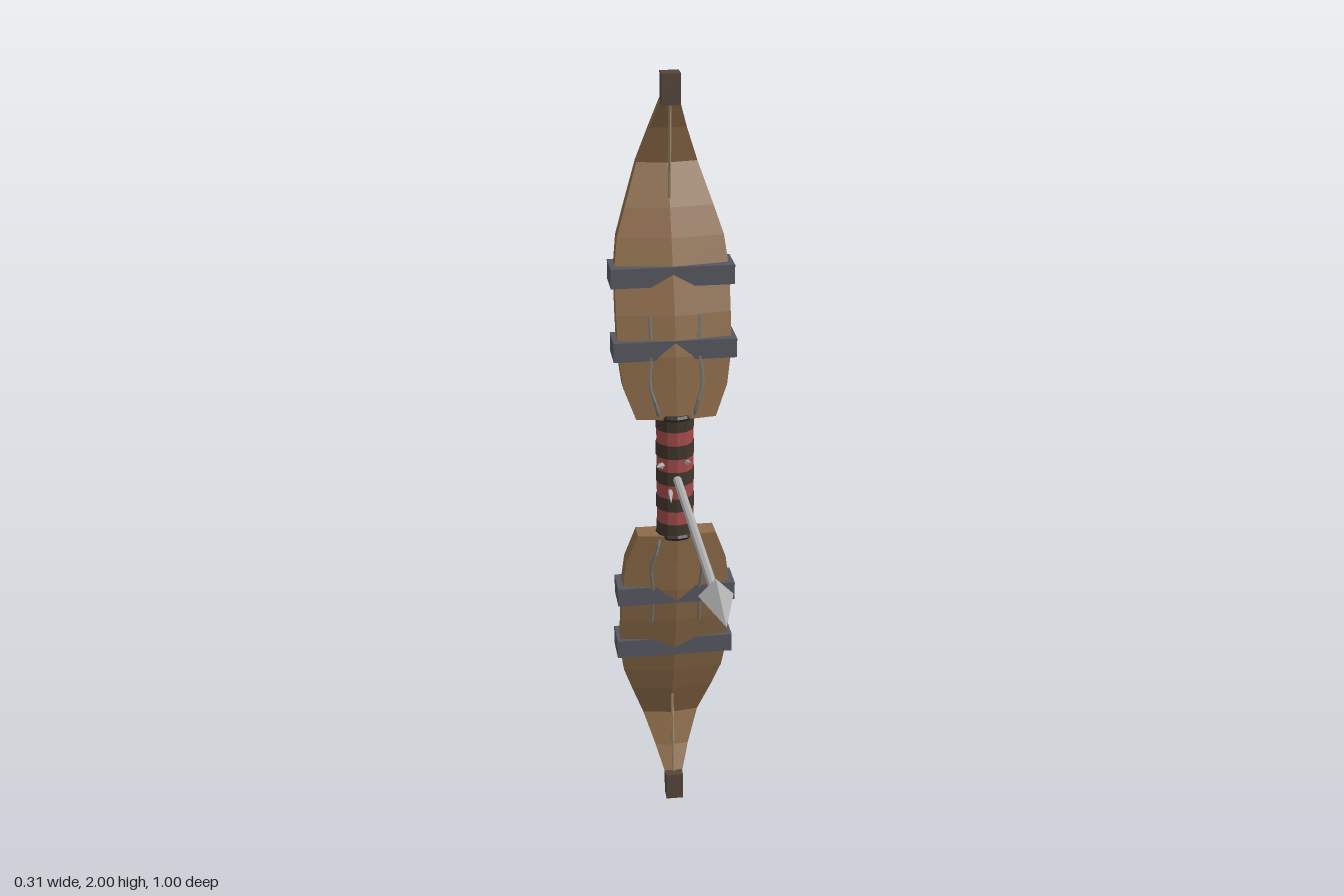
import * as THREE from 'three';

const mat = (name, color) => {
  const m = new THREE.MeshStandardMaterial({ color, flatShading: true });
  m.name = name;
  return m;
};

export function createModel() {
  const wood = mat('wood', 0x8b6a48), iron = mat('iron', 0x565660), tipWood = mat('darkWood', 0x54453a);
  const red = mat('redWrap', 0xa34a4a), dark = mat('darkWrap', 0x40362c), ring = mat('ringBrown', 0x2e2a28);
  const steel = mat('steel', 0xb0b0b0), cord = mat('cord', 0x9a8468), wire = mat('wire', 0x77746f);
  const bow = new THREE.Group();
  bow.name = 'bowAndArrow';

  const add = (parent, name, geo, m, x = 0, y = 0, z = 0) => {
    const mesh = new THREE.Mesh(geo, m);
    mesh.name = name;
    mesh.position.set(x, y, z);
    parent.add(mesh);
    return mesh;
  };
  // tapered rod from a to b
  const rod = (parent, name, a, b, r0, r1, m, sides = 6) => {
    const p = new THREE.Vector3(...a), q = new THREE.Vector3(...b), d = q.clone().sub(p);
    const mesh = add(parent, name, new THREE.CylinderGeometry(r1, r0, d.length(), sides), m);
    mesh.position.copy(p).add(q).multiplyScalar(0.5);
    mesh.quaternion.setFromUnitVectors(new THREE.Vector3(0, 1, 0), d.normalize());
    return mesh;
  };

  // limb sections, measured from the grip centre: height, half width, front z, back z
  const sections = [
    [0.16, 0.1, -0.3, -0.372], [0.24, 0.13, -0.307, -0.378], [0.32, 0.14, -0.313, -0.385],
    [0.42, 0.142, -0.333, -0.4], [0.52, 0.142, -0.362, -0.422], [0.6, 0.132, -0.387, -0.445],
    [0.67, 0.109, -0.413, -0.468], [0.77, 0.075, -0.457, -0.499], [0.86, 0.045, -0.432, -0.47],
    [0.95, 0.018, -0.39, -0.42],
  ];
  const limbGeometry = () => {
    const pos = [], idx = [], n = 5;
    for (const [y, w, f, b] of sections) {
      const edge = f - 0.16 * w;
      pos.push(0, y, f, w, y, edge, w, y, b, -w, y, b, -w, y, edge);
    }
    for (let i = 0; i < sections.length - 1; i++) {
      for (let j = 0; j < n; j++) {
        const a = i * n + j, b = i * n + (j + 1) % n;
        idx.push(a, b, b + n, a, b + n, a + n);
      }
    }
    const t = (sections.length - 1) * n;
    for (let j = 1; j < n - 1; j++) idx.push(0, j + 1, j, t, t + j, t + j + 1);
    const g = new THREE.BufferGeometry();
    g.setAttribute('position', new THREE.Float32BufferAttribute(pos, 3));
    g.setIndex(idx);
    g.computeVertexNormals();
    return g;
  };

  // upper limb, and the same turned over for the lower one
  for (const side of ['upper', 'lower']) {
    const half = new THREE.Group();
    half.name = side + 'Half';
    half.position.y = 1;
    if (side === 'lower') half.rotation.z = Math.PI;
    bow.add(half);
    add(half, 'limb', limbGeometry(), wood);
    add(half, 'limbTip', new THREE.BoxGeometry(0.046, 0.075, 0.043), tipWood, 0, 0.9625, -0.398);
    add(half, 'innerClamp', new THREE.BoxGeometry(0.306, 0.049, 0.09), iron, 0, 0.336, -0.365);
    add(half, 'outerClamp', new THREE.BoxGeometry(0.306, 0.049, 0.09), iron, 0, 0.511, -0.406);
    const collar = add(half, 'gripRing', new THREE.TorusGeometry(0.045, 0.008, 6, 12), ring, 0, 0.163, -0.344);
    collar.rotation.x = Math.PI / 2;
    // bowstring
    rod(half, 'stringInner', [0, 0, -0.445], [0, 0.5, -0.445], 0.005, 0.005, cord);
    rod(half, 'stringOuter', [0, 0.5, -0.445], [0, 0.94, -0.4], 0.004, 0.004, cord);
    // wires running up the face of the limb
    for (const s of [-1, 1]) {
      const path = new THREE.CatmullRomCurve3([
        [0.043, 0.16, -0.315], [0.052, 0.2, -0.304], [0.066, 0.25, -0.312],
        [0.06, 0.33, -0.326], [0.062, 0.42, -0.344],
      ].map(([x, y, z]) => new THREE.Vector3(s * x, y, z)));
      add(half, 'wire', new THREE.TubeGeometry(path, 10, 0.005, 5), wire);
    }
  }

  // wrapped grip in alternating bands
  const bands = 9, h = 0.326 / bands;
  for (let i = 0; i < bands; i++) {
    const r = i % 2 ? 0.047 : 0.049;
    add(bow, 'gripBand', new THREE.CylinderGeometry(r, r, h, 12), i % 2 ? red : dark, 0, 0.837 + h * (i + 0.5), -0.344);
  }
  add(bow, 'stringWrap', new THREE.CylinderGeometry(0.011, 0.011, 0.12, 8), red, 0, 1, -0.445);

  // small claws on the front of the grip
  for (const [x, y, tx, ty] of [[-0.038, 1.035, -0.056, 1.05], [0.024, 1.04, 0.032, 1.057],
    [-0.016, 0.97, -0.02, 0.95], [0.016, 0.965, 0.022, 0.945]]) {
    rod(bow, 'claw', [x, y, -0.312], [tx, ty, -0.268], 0.009, 0.0005, steel, 5);
  }

  // arrow
  rod(bow, 'arrowShaft', [0, 1, -0.36], [0, 1, 0.35], 0.011, 0.011, steel, 8);
  const head = add(bow, 'arrowHead', new THREE.ConeGeometry(0.04, 0.155, 4), steel, 0, 1, 0.4225);
  head.rotation.x = Math.PI / 2;
  return bow;
}
